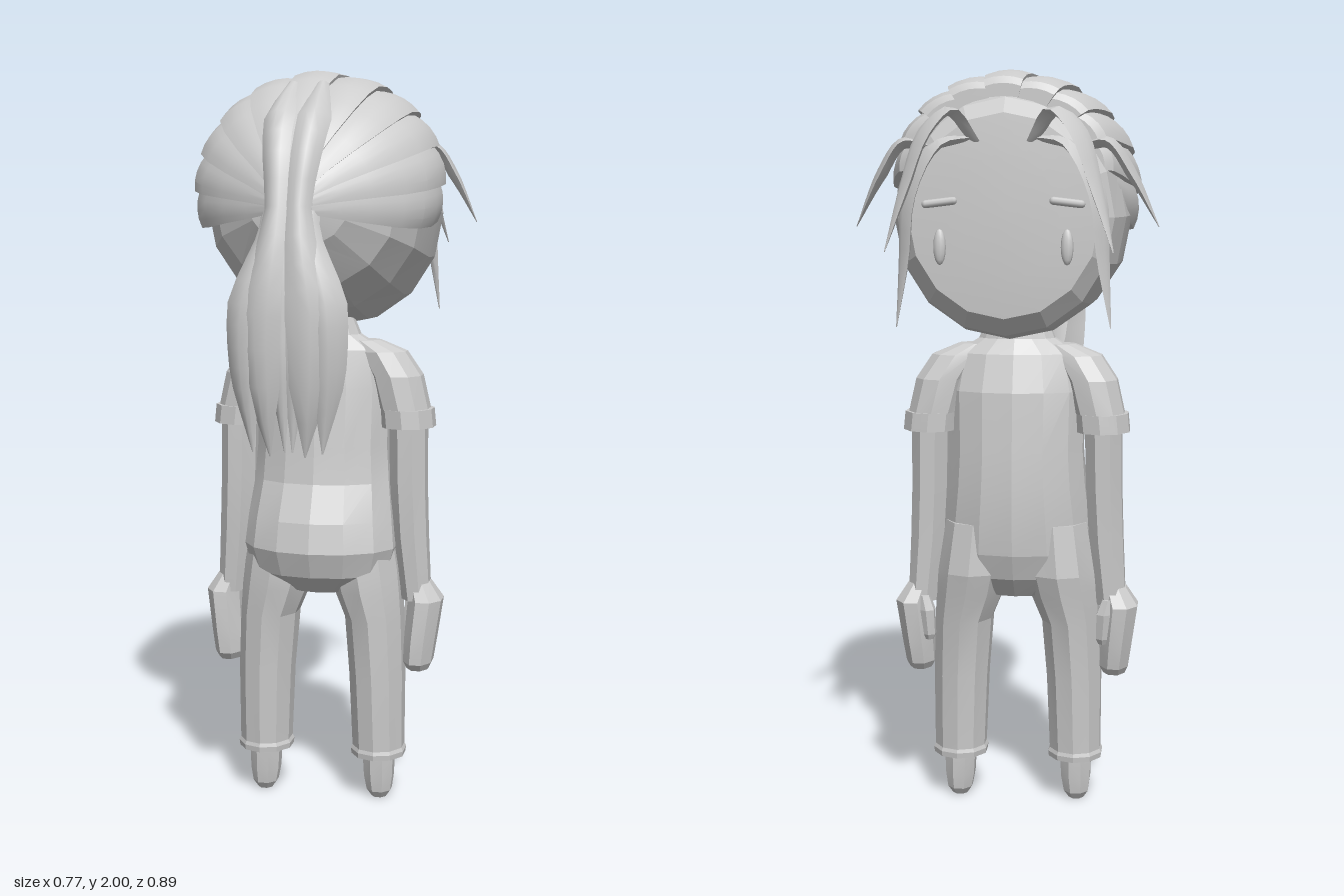
import * as THREE from 'three';
import { toCreasedNormals } from 'three/addons/utils/BufferGeometryUtils.js';

const V = (x, y, z) => new THREE.Vector3(x, y, z);
const DEG = Math.PI / 180;

// Skin a list of equal-length point rings, cap both ends, and make the faces point outward
function loft(rings, crease = 0.02) {
  const n = rings[0].length, pos = [], idx = [];
  rings.forEach(r => r.forEach(p => pos.push(p.x, p.y, p.z)));
  for (let i = 0; i < rings.length - 1; i++)
    for (let j = 0; j < n; j++) {
      const a = i * n + j, b = i * n + (j + 1) % n;
      idx.push(a, b, b + n, a, b + n, a + n);
    }
  [0, rings.length - 1].forEach(k => {
    const c = V(0, 0, 0), ci = pos.length / 3;
    rings[k].forEach(p => c.addScaledVector(p, 1 / n));
    pos.push(c.x, c.y, c.z);
    for (let j = 0; j < n; j++) {
      const a = k * n + j, b = k * n + (j + 1) % n;
      if (k === 0) idx.push(ci, b, a); else idx.push(ci, a, b);
    }
  });
  let vol = 0;
  const at = i => V(pos[3 * i], pos[3 * i + 1], pos[3 * i + 2]);
  const o = at(0);
  for (let i = 0; i < idx.length; i += 3) {
    const [a, b, c] = [0, 1, 2].map(k => at(idx[i + k]).sub(o));
    vol += a.dot(b.cross(c));
  }
  if (vol < 0) idx.reverse();
  const g = new THREE.BufferGeometry();
  g.setAttribute('position', new THREE.Float32BufferAttribute(pos, 3));
  g.setIndex(idx);
  return toCreasedNormals(g, crease);
}

// Horizontal slices: rows of [y, centre x, centre z, radius x, radius z]
function slices(rows, sides, s = 1) {
  return loft(rows.map(([y, cx, cz, rx, rz]) =>
    Array.from({ length: sides }, (_, j) => {
      const a = (j + 0.5) / sides * Math.PI * 2;
      return V(s * (cx + rx * Math.cos(a)), y, cz + rz * Math.sin(a));
    })), 0.2);
}

// Tapering lens-shaped lock of hair along a path
function lock(points, widths, thick, side, s) {
  const curve = new THREE.CatmullRomCurve3(points.map(p => V(s * p[0], p[1], p[2])));
  const sideV = V(s * side[0], side[1], side[2]), N = 14, rings = [];
  for (let i = 0; i <= N; i++) {
    const t = i / N, f = t * (widths.length - 1), k = Math.min(Math.floor(f), widths.length - 2);
    const w = THREE.MathUtils.lerp(widths[k], widths[k + 1], f - k);
    const p = curve.getPoint(t), d = curve.getTangent(t);
    const u = sideV.clone().addScaledVector(d, -sideV.dot(d)).normalize();
    const m = d.cross(u).multiplyScalar(s);
    const th = Math.min(thick, w * 0.6);
    rings.push([[-1, 0], [-0.5, 0.75], [0, 1], [0.5, 0.75], [1, 0], [0, -0.6]].map(([a, b]) =>
      p.clone().addScaledVector(u, a * w).addScaledVector(m, b * th)));
  }
  return loft(rings, 0.7);
}

export function createModel() {
  const model = new THREE.Group();
  const grey = new THREE.MeshStandardMaterial({ color: 0xcccccc });
  grey.name = 'plain grey';
  const add = (name, geo) => {
    const m = new THREE.Mesh(geo, grey);
    m.name = name;
    model.add(m);
  };

  // Head: slices from the nearly flat face to the back, [z, half width, top, bottom]
  add('head', loft([
    [-0.337, 0.14, 1.78, 1.46], [-0.33, 0.24, 1.88, 1.37], [-0.29, 0.275, 1.92, 1.325],
    [-0.2, 0.3, 1.94, 1.31], [-0.05, 0.308, 1.94, 1.315], [0.1, 0.29, 1.93, 1.36],
    [0.2, 0.24, 1.87, 1.43], [0.27, 0.13, 1.76, 1.54], [0.285, 0.03, 1.68, 1.62]
  ].map(([z, rx, top, bot]) => Array.from({ length: 16 }, (_, j) => {
    const a = j / 16 * Math.PI * 2;
    return V(rx * Math.sin(a), (top + bot) / 2 + (top - bot) / 2 * Math.cos(a), z);
  })), 0.2));

  // Torso, broad down to the hips, with rounded seat
  add('torso', slices([
    [1.36, 0, -0.02, 0.08, 0.06], [1.3, 0, -0.02, 0.105, 0.07], [1.26, 0, -0.025, 0.17, 0.09],
    [1.16, 0, -0.03, 0.19, 0.115], [1.0, 0, -0.03, 0.186, 0.127], [0.9, 0, -0.025, 0.193, 0.136],
    [0.8, 0, -0.003, 0.206, 0.157], [0.72, 0, 0.008, 0.214, 0.16], [0.65, 0, 0.008, 0.195, 0.135],
    [0.595, 0, -0.005, 0.1, 0.08]
  ], 14));

  // Swept-back hair shell: [z, centre y, radius x, radius y]
  const shell = [
    [-0.338, 1.74, 0.25, 0.21], [-0.325, 1.74, 0.272, 0.228], [-0.27, 1.73, 0.292, 0.254],
    [-0.18, 1.715, 0.312, 0.28], [-0.06, 1.705, 0.33, 0.295], [0.06, 1.695, 0.33, 0.3],
    [0.15, 1.685, 0.312, 0.283], [0.22, 1.675, 0.27, 0.247], [0.29, 1.665, 0.198, 0.185],
    [0.335, 1.655, 0.125, 0.125], [0.37, 1.645, 0.06, 0.065]
  ];
  // Strands overlap like shingles: each steps down to the inner edge of the next one out
  for (let k = -5; k <= 5; k++) {
    const tilt = Math.sign(k) * 0.025;
    const section = [[-1, 0.97 - tilt], [-0.5, 0.985 - tilt / 2], [0, 0.99], [0.5, 0.985 + tilt / 2], [1, 0.97 + tilt],
      [1, 0.84], [0, 0.84], [-1, 0.84]];
    add('sweptHairStrand', loft(shell.map(([z, cy, rx, ry]) => section.map(([u, r]) => {
      const a = (k * 20 + u * 10.5) * DEG, grow = k === 0 ? r * 1.01 : r;
      return V(rx * grow * Math.sin(a), cy + ry * grow * Math.cos(a), z + 0.003 * k * k * Math.max(0, -z / 0.338));
    })), 0.4));
  }

  for (const s of [1, -1]) {
    // Ponytail: the crown locks run down the back of the head, pinch, then flare out
    const tail = (pts, w, th = 0.03) => add('ponytailLock', lock(pts, w, th, [1, 0, -0.25], s));
    tail([[0.04, 1.955, 0.16], [0.045, 1.865, 0.28], [0.038, 1.77, 0.345], [0.03, 1.64, 0.385], [0.045, 1.5, 0.412],
      [0.065, 1.38, 0.42], [0.06, 1.2, 0.41], [0.045, 1.02, 0.39]],
      [0.015, 0.043, 0.038, 0.03, 0.045, 0.063, 0.05, 0.002], 0.025);
    tail([[0.05, 1.7, 0.33], [0.05, 1.58, 0.375], [0.1, 1.4, 0.405], [0.105, 1.22, 0.4], [0.09, 1.03, 0.39]],
      [0.025, 0.03, 0.055, 0.045, 0.002]);
    tail([[0.01, 1.64, 0.36], [0.02, 1.45, 0.385], [0.02, 1.25, 0.39], [0.01, 1.03, 0.38]],
      [0.02, 0.035, 0.035, 0.002]);
    tail([[0.02, 1.62, 0.34], [0.06, 1.45, 0.33], [0.075, 1.3, 0.305], [0.06, 1.11, 0.265]],
      [0.02, 0.04, 0.035, 0.002], 0.025);

    // Loose locks framing the face
    add('fringeLock', lock([[0.07, 1.81, -0.32], [0.13, 1.885, -0.36], [0.19, 1.83, -0.385], [0.235, 1.7, -0.41], [0.28, 1.54, -0.443]],
      [0.02, 0.036, 0.038, 0.026, 0.002], 0.015, [0.6, 0, 0.8], s));
    add('longFringeLock', lock([[0.09, 1.82, -0.32], [0.17, 1.8, -0.345], [0.235, 1.68, -0.35], [0.25, 1.52, -0.345], [0.27, 1.35, -0.345]],
      [0.02, 0.03, 0.03, 0.022, 0.002], 0.015, [0.7, 0, 0.7], s));
    add('sideLock', lock([[0.19, 1.8, -0.29], [0.26, 1.81, -0.295], [0.32, 1.73, -0.285], [0.385, 1.6, -0.268]],
      [0.02, 0.04, 0.03, 0.002], 0.018, [0.2, 0, 1], s));

    // Eyes and brows
    const eye = new THREE.SphereGeometry(1, 10, 8);
    eye.scale(0.016, 0.045, 0.012);
    eye.translate(s * 0.16, 1.55, -0.337);
    add('eye', eye);
    const brow = new THREE.CapsuleGeometry(0.01, 0.07, 3, 8);
    brow.rotateZ(Math.PI / 2 - s * 0.12);
    brow.translate(s * 0.16, 1.66, -0.338);
    add('brow', brow);

    // Short sleeve with a cuff
    add('sleeve', slices([
      [1.285, 0.11, -0.025, 0.05, 0.045], [1.255, 0.16, -0.025, 0.073, 0.07], [1.19, 0.2, -0.03, 0.076, 0.086],
      [1.1, 0.222, -0.033, 0.074, 0.09], [1.1, 0.228, -0.033, 0.078, 0.094], [1.05, 0.233, -0.033, 0.078, 0.095]
    ], 10, s));

    // Arm, hand and thumb
    add('arm', slices([
      [1.1, 0.236, -0.03, 0.054, 0.074], [0.9, 0.239, -0.025, 0.052, 0.07], [0.75, 0.246, -0.025, 0.05, 0.064],
      [0.57, 0.262, -0.03, 0.042, 0.054]
    ], 8, s));
    add('hand', slices([
      [0.62, 0.268, -0.03, 0.036, 0.045], [0.57, 0.288, -0.033, 0.05, 0.072], [0.46, 0.276, -0.025, 0.046, 0.074],
      [0.395, 0.27, -0.02, 0.042, 0.066], [0.375, 0.27, -0.02, 0.032, 0.05]
    ], 8, s));
    add('thumb', slices([
      [0.59, 0.255, -0.07, 0.018, 0.022], [0.55, 0.245, -0.075, 0.024, 0.026], [0.48, 0.24, -0.07, 0.02, 0.022],
      [0.465, 0.24, -0.07, 0.012, 0.014]
    ], 6, s));

    // Trouser leg with hem, and foot
    add('trouserLeg', slices([
      [0.8, 0.108, -0.015, 0.09, 0.12], [0.66, 0.12, -0.018, 0.1, 0.128], [0.6, 0.13, -0.012, 0.096, 0.12],
      [0.52, 0.149, -0.008, 0.082, 0.106], [0.36, 0.158, -0.003, 0.078, 0.093], [0.15, 0.162, -0.004, 0.073, 0.08],
      [0.14, 0.162, -0.004, 0.078, 0.083], [0.125, 0.162, -0.004, 0.076, 0.081]
    ], 10, s));
    add('foot', slices([
      [0.14, 0.163, -0.003, 0.047, 0.048], [0.06, 0.164, -0.003, 0.043, 0.046], [0.02, 0.165, -0.003, 0.036, 0.04],
      [0, 0.165, -0.003, 0.022, 0.025]
    ], 8, s));
  }
  return model;
}
